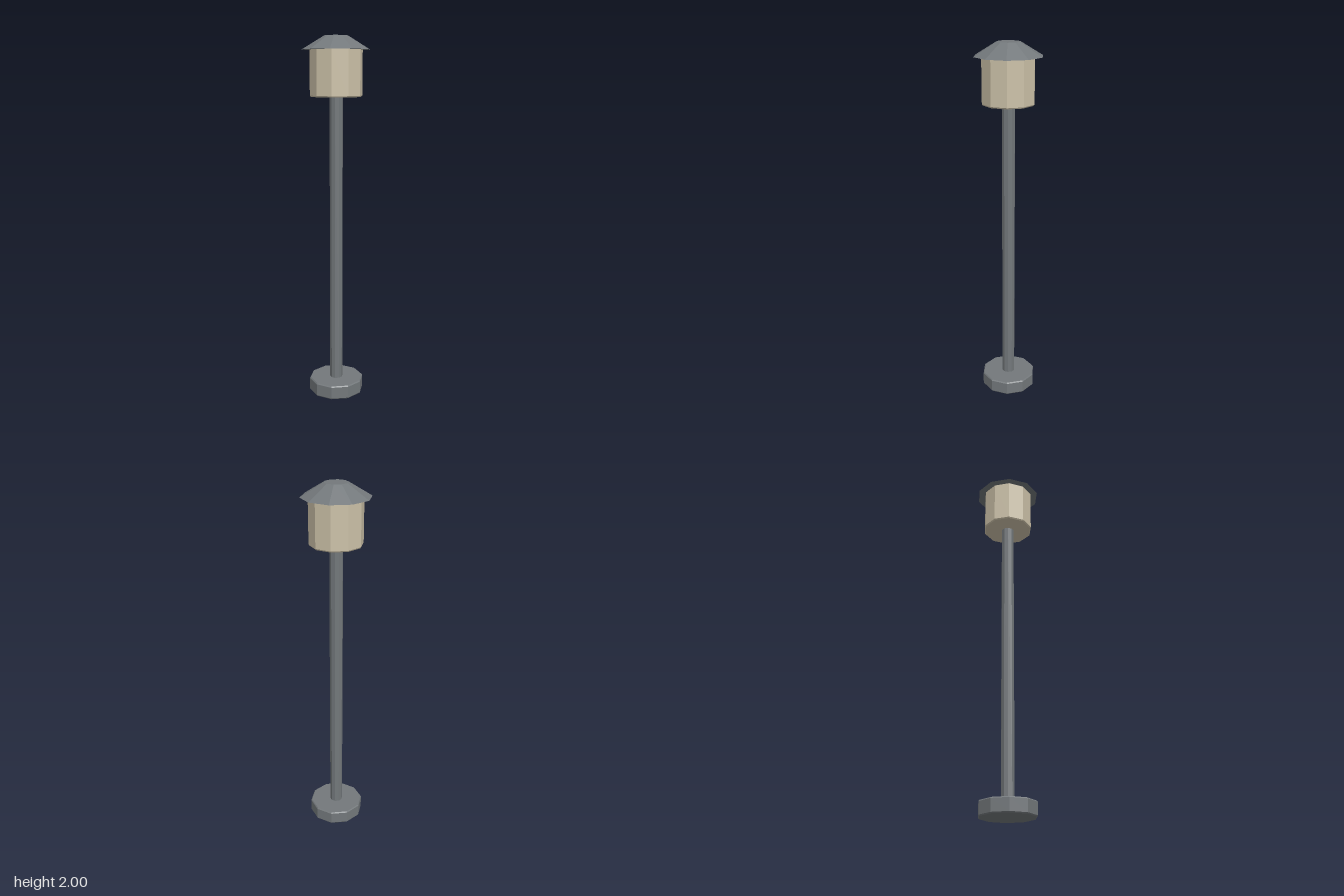
import * as THREE from 'three';

const SIDES = 10;

export function createModel() {
  const metal = new THREE.MeshStandardMaterial({ name: 'grey metal', color: 0x73787b, flatShading: true });
  const glass = new THREE.MeshStandardMaterial({ name: 'cream glass', color: 0xccc1a8, flatShading: true });

  const lamp = new THREE.Group();
  lamp.name = 'streetLamp';

  // Ten-sided solid turned from [radius, height] pairs, bottom to top
  function turned(name, material, profile) {
    const points = profile.map(([r, y]) => new THREE.Vector2(r, y));
    const mesh = new THREE.Mesh(new THREE.LatheGeometry(points, SIDES), material);
    mesh.name = name;
    lamp.add(mesh);
  }

  // Foot with slightly bevelled rims
  turned('base', metal, [[0, 0], [0.149, 0], [0.154, 0.006], [0.154, 0.072], [0.149, 0.078], [0, 0.078]]);

  // Post
  turned('post', metal, [[0.036, 0.07], [0.036, 1.69]]);

  // Light housing, bevelled below
  turned('lantern', glass, [[0, 1.683], [0.137, 1.683], [0.142, 1.69], [0.142, 1.93]]);

  // Flat-topped conical roof
  turned('roof', metal, [[0, 1.928], [0.183, 1.928], [0.063, 2], [0, 2]]);

  return lamp;
}
